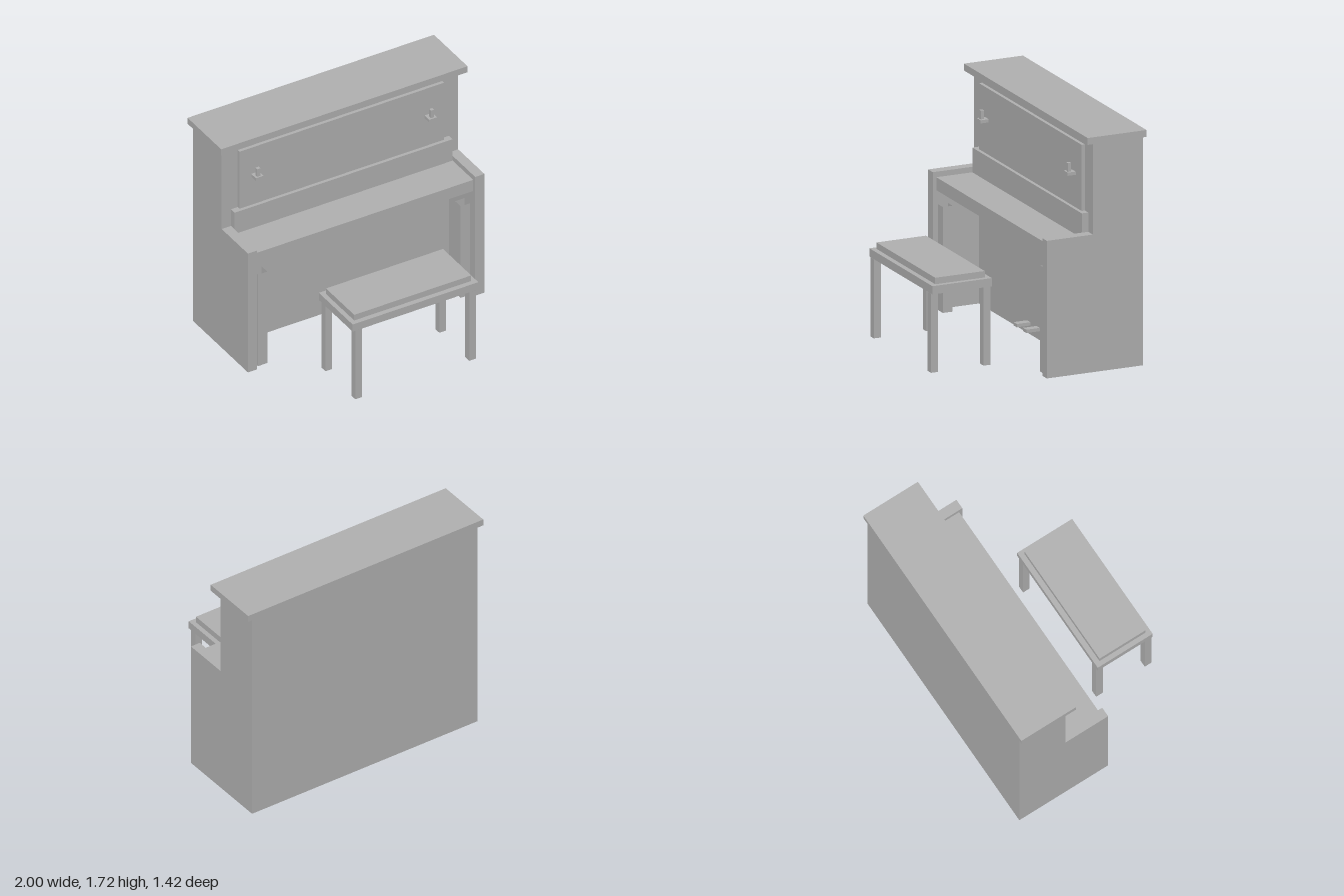
import * as THREE from 'three';

const grey = new THREE.MeshStandardMaterial({ color: 0xb2b2b2, side: THREE.DoubleSide });
grey.name = 'plain grey';

// Box from min/max ranges; 'open' lists faces left out (0 +x, 1 -x, 2 +y, 3 -y, 4 +z, 5 -z)
function box(parent, name, [x0, x1], [y0, y1], [z0, z1], open = []) {
  const g = new THREE.BoxGeometry(x1 - x0, y1 - y0, z1 - z0);
  const index = Array.from(g.index.array);
  g.setIndex(index.filter((_, i) => !open.includes(Math.floor(i / 6))));
  g.clearGroups();
  const mesh = new THREE.Mesh(g, grey);
  mesh.name = name;
  mesh.position.set((x0 + x1) / 2, (y0 + y1) / 2, (z0 + z1) / 2);
  parent.add(mesh);
  return mesh;
}

// The same box on both sides of x = 0
function pair(parent, name, [a, b], y, z, open) {
  box(parent, name + 'Left', [a, b], y, z, open);
  box(parent, name + 'Right', [-b, -a], y, z, open);
}

export function createModel() {
  const model = new THREE.Group();
  model.name = 'uprightPianoAndBench';

  const piano = new THREE.Group();
  piano.name = 'piano';
  model.add(piano);
  const front = -0.315;

  // Case, hollow underneath, with overhanging lid
  box(piano, 'case', [-0.96, 0.96], [0, 1.67], [-0.7, front], [3]);
  box(piano, 'lid', [-1, 1], [1.67, 1.72], [-0.71, -0.255]);

  // Side cheeks reaching forward
  pair(piano, 'cheek', [0.885, 0.96], [0, 1], [front, 0.04], [3, 5]);

  // Front panels, fallboard and key shelf
  box(piano, 'upperPanel', [-0.83, 0.83], [1.1, 1.62], [front, -0.29]);
  box(piano, 'lowerPanel', [-0.83, 0.83], [0.187, 0.745], [front, -0.295]);
  box(piano, 'fallboard', [-0.885, 0.885], [0.96, 1.14], [front, -0.265]);
  box(piano, 'keyShelf', [-0.885, 0.885], [0.866, 0.96], [front, 0.013]);

  // Front columns, open at both ends
  pair(piano, 'column', [0.785, 0.86], [0, 0.77], [-0.065, 0.01], [2, 3]);

  // Pedals
  pair(piano, 'pedal', [0.05, 0.103], [0.066, 0.09], [front, -0.21]);

  // Candle brackets
  pair(piano, 'candleShelf', [0.672, 0.735], [1.377, 1.4], [-0.29, -0.227]);
  pair(piano, 'candle', [0.692, 0.718], [1.4, 1.463], [-0.262, -0.238]);

  // Bench
  const bench = new THREE.Group();
  bench.name = 'bench';
  model.add(bench);
  box(bench, 'benchFrame', [-0.51, 0.51], [0.575, 0.635], [0.25, 0.708]);
  box(bench, 'cushion', [-0.475, 0.475], [0.635, 0.682], [0.288, 0.67]);
  pair(bench, 'frontLeg', [0.435, 0.49], [0, 0.575], [0.655, 0.71], [2, 3]);
  pair(bench, 'backLeg', [0.435, 0.49], [0, 0.575], [0.25, 0.305], [2, 3]);

  return model;
}
